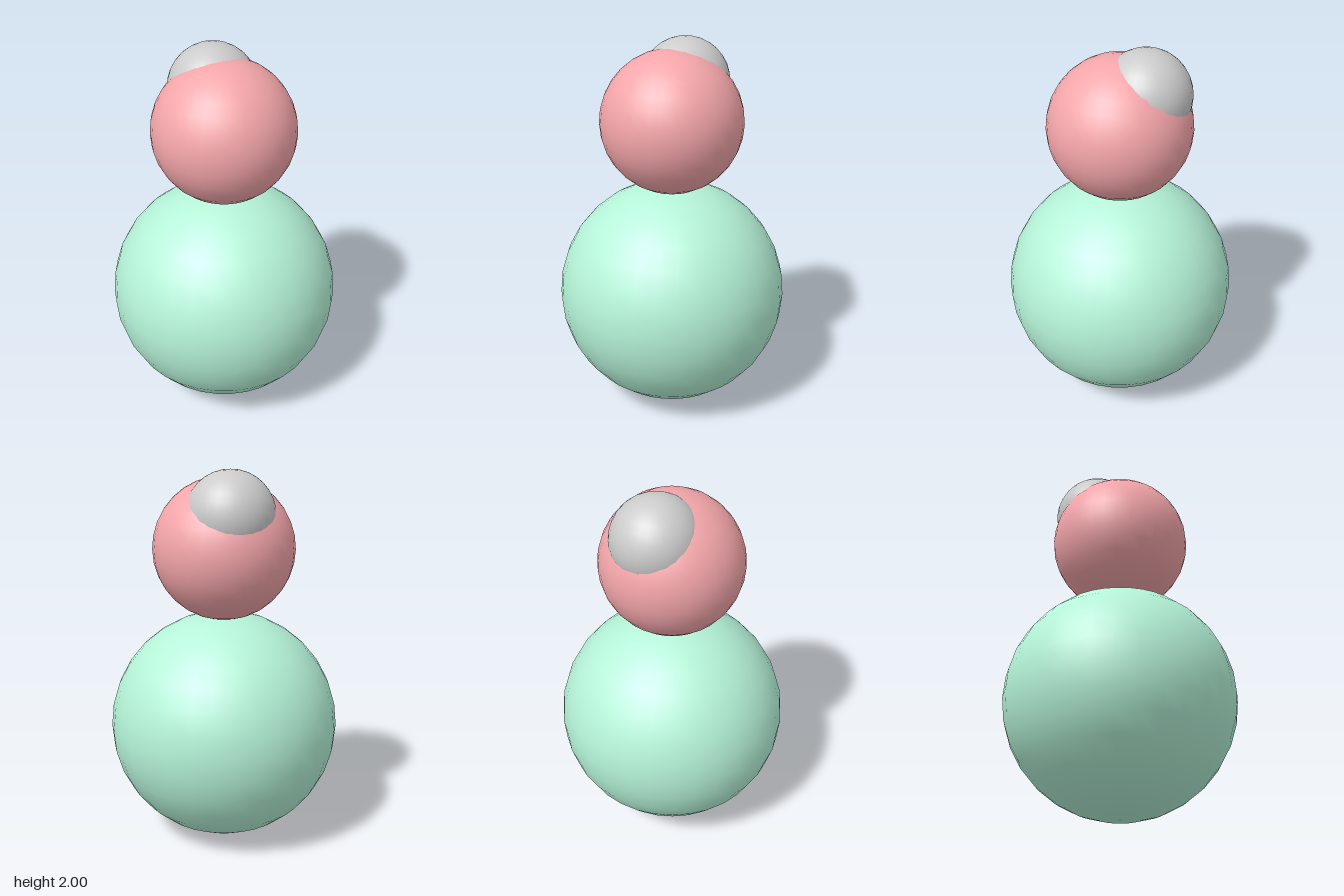
import * as THREE from 'three';

// One smooth ball with a name, colour, radius and centre
function ball(name, color, radius, x, y, z) {
  const mesh = new THREE.Mesh(
    new THREE.SphereGeometry(radius, 32, 16),
    new THREE.MeshStandardMaterial({ color })
  );
  mesh.name = name;
  mesh.position.set(x, y, z);
  return mesh;
}

export function createModel() {
  const model = new THREE.Group();
  model.name = 'stackedBalls';

  // Large base, smaller head, and a cap set into the upper back of the head
  model.add(
    ball('body', 0xb5f3d8, 0.616, 0, 0.616, 0),
    ball('head', 0xf4a6aa, 0.377, 0, 1.58, 0),
    ball('cap', 0xcccccc, 0.235, 0.005, 1.765, -0.13)
  );
  return model;
}
